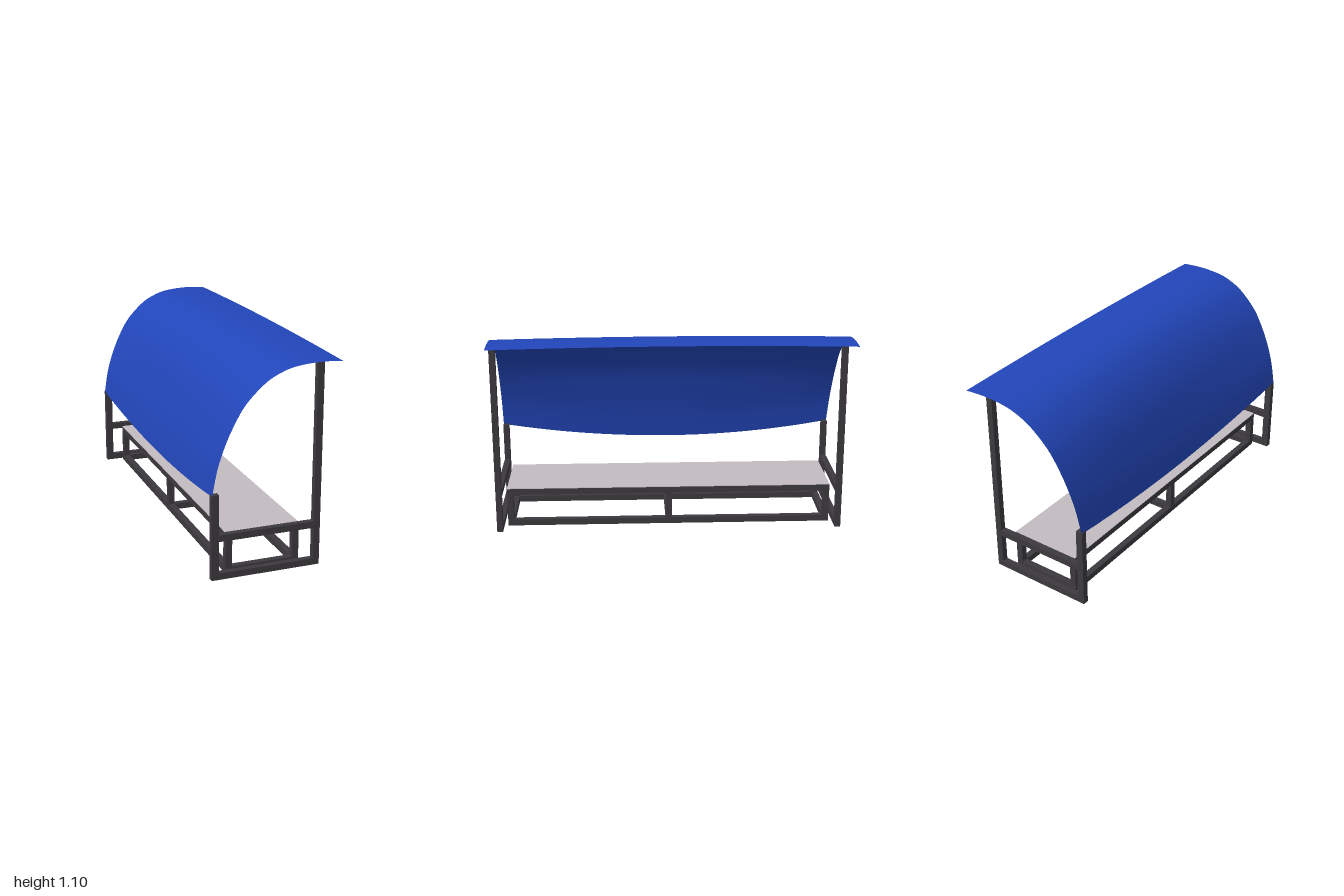
import * as THREE from 'three';
import { ParametricGeometry } from 'three/addons/geometries/ParametricGeometry.js';

const frameMat = new THREE.MeshStandardMaterial({ color: 0x3d3a3f });
frameMat.name = 'dark steel';
const canopyMat = new THREE.MeshStandardMaterial({ color: 0x2246ba, side: THREE.DoubleSide });
canopyMat.name = 'blue canopy';
const seatMat = new THREE.MeshStandardMaterial({ color: 0xc3bbc0 });
seatMat.name = 'pale seat board';

const MID = 0.015; // z centre of the frames
const BAR = 0.035; // bar thickness

// Box given by its limits on each axis
function bar(name, parent, [x0, x1], [y0, y1], [z0, z1], mat = frameMat) {
  const mesh = new THREE.Mesh(new THREE.BoxGeometry(x1 - x0, y1 - y0, z1 - z0), mat);
  mesh.position.set((x0 + x1) / 2, (y0 + y1) / 2, (z0 + z1) / 2);
  mesh.name = name;
  parent.add(mesh);
}

const span = (centre, size = BAR) => [centre - size / 2, centre + size / 2];

// Upright end frame with a short back post and a tall front post
function endFrame(z) {
  const g = new THREE.Group();
  g.name = 'endFrame';
  const zs = span(z, 0.033);
  bar('shortPost', g, [-0.343, -0.304], [0, 0.455], zs);
  bar('tallPost', g, [0.214, 0.249], [0, 1.081], zs);
  bar('lowerRail', g, [-0.304, 0.214], [0, BAR], zs);
  bar('upperRail', g, [-0.304, 0.214], [0.206, 0.241], zs);
  return g;
}

// Long bench: two side ladders joined by cross rails, with a thin board on top
function bench() {
  const g = new THREE.Group();
  g.name = 'bench';
  const half = 0.92, top = 0.222;
  const sides = [-0.229, 0.139];
  const legs = [-half + BAR / 2, 0, half - BAR / 2].map((z) => z + MID);
  for (const x of sides) {
    const xs = span(x);
    bar('longLowerRail', g, xs, [0, BAR], span(MID, half * 2));
    bar('longUpperRail', g, xs, [top - BAR, top], span(MID, half * 2));
    for (const z of legs) bar('benchLeg', g, xs, [BAR, top - BAR], span(z));
  }
  const inner = [sides[0] + BAR / 2, sides[1] - BAR / 2];
  legs.forEach((z, i) => {
    bar('lowerCrossRail', g, inner, [0, BAR], span(z));
    if (i !== 1) bar('upperCrossRail', g, inner, [top - BAR, top], span(z));
  });
  bar('seatBoard', g, [-0.2465, 0.1565], [top, top + 0.003], span(MID, half * 2), seatMat);
  return g;
}

// Curved sheet blending an end profile into a slightly fuller middle profile
function canopy() {
  const curve = (pts) => new THREE.SplineCurve(pts.map(([x, y]) => new THREE.Vector2(x, y)));
  const ends = curve([
    [-0.341, 0.452], [-0.315, 0.588], [-0.277, 0.704], [-0.231, 0.806], [-0.17, 0.907],
    [-0.076, 1.0], [0.004, 1.047], [0.09, 1.074], [0.22, 1.085], [0.343, 1.079],
  ]);
  const middle = curve([
    [-0.317, 0.375], [-0.292, 0.512], [-0.257, 0.646], [-0.206, 0.802], [-0.14, 0.924],
    [-0.07, 1.005], [0.004, 1.057], [0.09, 1.085], [0.22, 1.096], [0.343, 1.091],
  ]);
  const a = new THREE.Vector2(), b = new THREE.Vector2();
  const sheet = (u, v, target) => {
    const t = 1 - 2 * v; // +1 at the front end, -1 at the back end
    ends.getPoint(u, a);
    middle.getPoint(u, b);
    const drop = Math.max(0, (1.08 - a.y) / 0.628); // ends taper in towards the lower edge
    const z = t > 0 ? t * (1 - 0.01 * drop) : t * (1 - 0.04 * drop);
    a.lerp(b, 1 - t * t);
    target.set(a.x, a.y, z);
  };
  const mesh = new THREE.Mesh(new ParametricGeometry(sheet, 40, 32), canopyMat);
  mesh.name = 'canopy';
  return mesh;
}

export function createModel() {
  const model = new THREE.Group();
  model.name = 'shelteredBench';
  model.add(endFrame(MID + 0.958), endFrame(MID - 0.958), bench(), canopy());
  return model;
}
